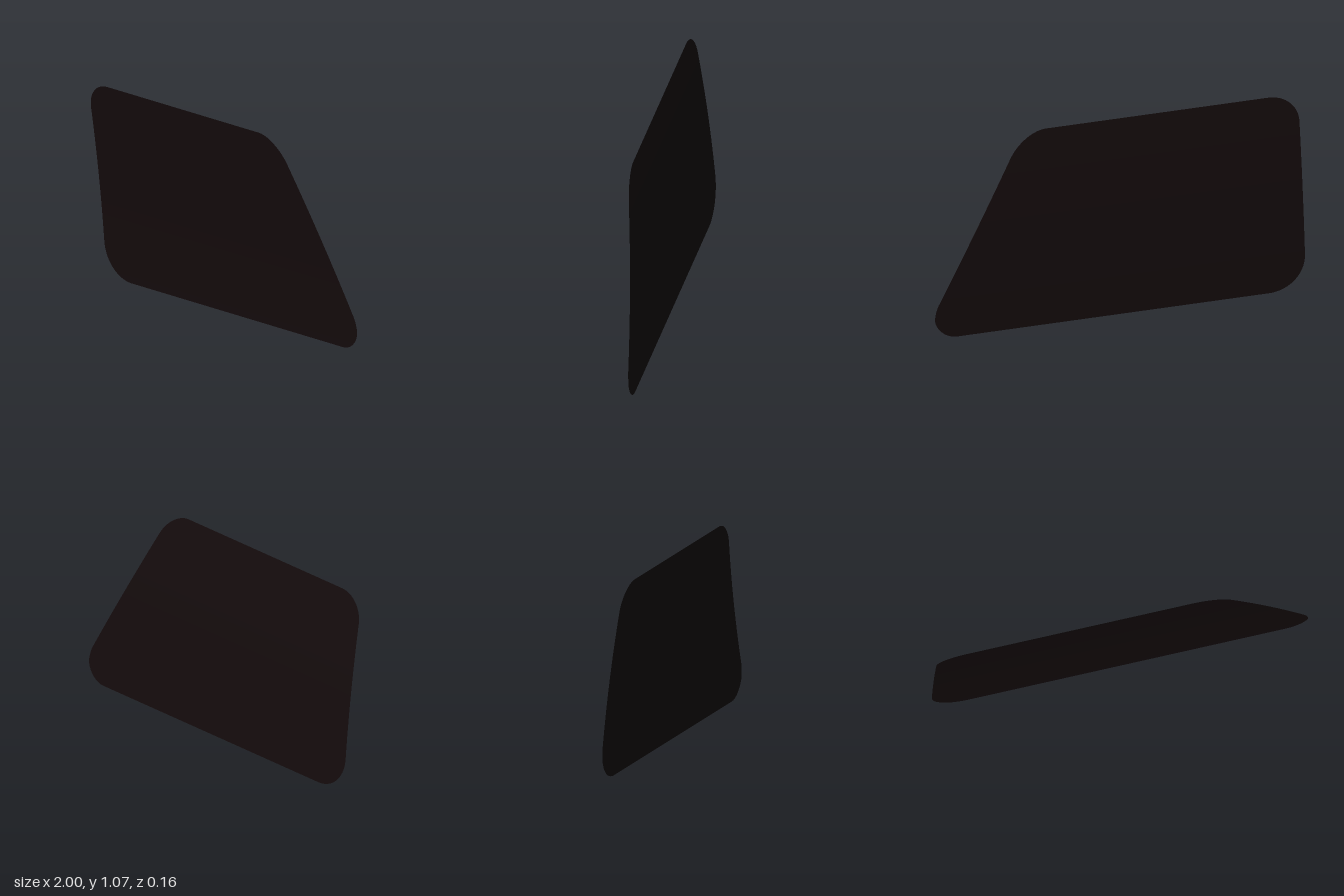
import * as THREE from 'three';

// Side outline from bottom to top; each corner is [start, sharp corner, end]
function sideOutline(corners) {
  const path = new THREE.Path();
  path.moveTo(...corners[0][0]);
  for (const [a, c, b] of corners) {
    const pull = (p, i) => p[i] + (c[i] - p[i]) * 0.56;
    path.lineTo(...a);
    path.bezierCurveTo(pull(a, 0), pull(a, 1), pull(b, 0), pull(b, 1), ...b);
  }
  return path;
}

// Lean and gentle bow of the pane
const bow = (x, y) => -0.0615 + 0.066 * y + 0.054 * y * y + 0.022 * x;

export function createModel() {
  const group = new THREE.Group();
  group.name = 'windowPane';

  const upright = sideOutline([
    [[-0.8, 0], [-1, 0], [-1, 0.19]],
    [[-1, 0.92], [-1, 1.065], [-0.84, 1.065]],
  ]);
  const slanted = sideOutline([
    [[0.88, 0], [0.985, 0], [1, 0.1]],
    [[1, 0.1], [1, 0.15], [0.975, 0.19]],
    [[0.56, 0.93], [0.485, 1.065], [0.36, 1.065]],
  ]);

  // Sheet lofted between the two side outlines
  const rows = 80, cols = 12;
  const left = upright.getSpacedPoints(rows);
  const right = slanted.getSpacedPoints(rows);
  const geometry = new THREE.PlaneGeometry(1, 1, cols, rows);
  const pos = geometry.attributes.position;
  for (let r = 0; r <= rows; r++) {
    for (let c = 0; c <= cols; c++) {
      const p = left[rows - r].clone().lerp(right[rows - r], c / cols);
      pos.setXYZ(r * (cols + 1) + c, p.x, p.y, bow(p.x, p.y));
    }
  }
  geometry.computeVertexNormals();

  const glass = new THREE.MeshStandardMaterial({ color: 0x140b0c, side: THREE.DoubleSide });
  const pane = new THREE.Mesh(geometry, glass);
  pane.name = 'pane';
  group.add(pane);
  return group;
}
